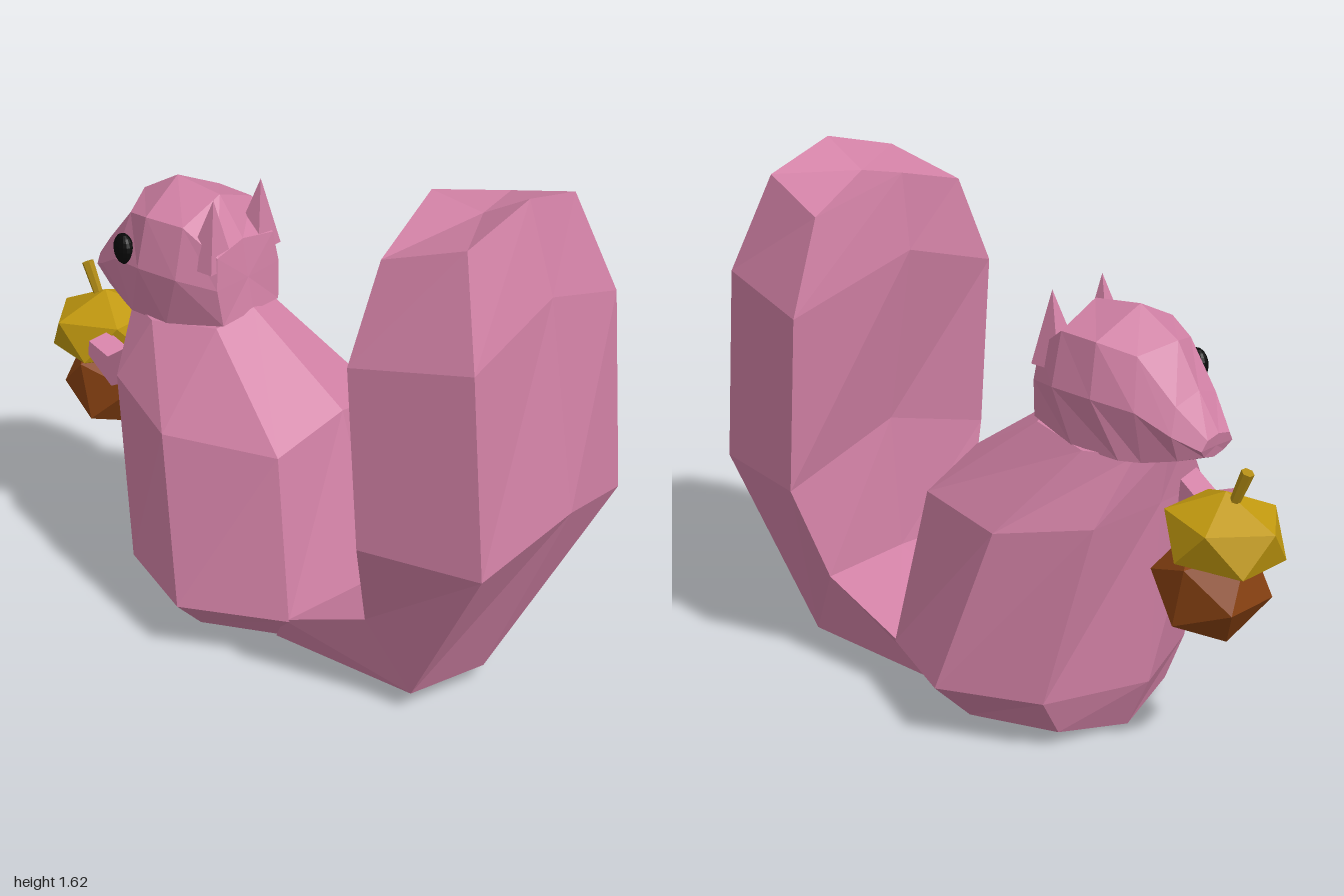
import * as THREE from 'three';

const paint = (color) => new THREE.MeshStandardMaterial({ color, flatShading: true });

// Skins a series of rings. Each ring is a half outline of [x, y, z] points that
// starts and ends on the z = 0 plane and is mirrored to the other side.
function loft(halfRings) {
  const rings = halfRings.map((half) => [
    ...half,
    ...half.slice(1, -1).reverse().map(([x, y, z]) => [x, y, -z]),
  ]);
  const n = rings[0].length;
  const pos = [];
  const tri = (a, b, c) => pos.push(...a, ...b, ...c);
  const middle = (r) => [0, 1, 2].map((k) => r.reduce((s, p) => s + p[k], 0) / n);
  for (let j = 0; j < rings.length - 1; j++) {
    for (let i = 0; i < n; i++) {
      const k = (i + 1) % n;
      const [a, b] = [rings[j], rings[j + 1]];
      tri(a[i], a[k], b[k]);
      tri(a[i], b[k], b[i]);
    }
  }
  const first = rings[0], last = rings[rings.length - 1];
  for (let i = 0; i < n; i++) {
    const k = (i + 1) % n;
    tri(middle(first), first[k], first[i]);
    tri(middle(last), last[i], last[k]);
  }
  const g = new THREE.BufferGeometry();
  g.setAttribute('position', new THREE.Float32BufferAttribute(pos, 3));
  g.computeVertexNormals();
  return g;
}

export function createModel() {
  const model = new THREE.Group();
  const fur = paint(0xd080a4);
  const add = (name, geometry, material, x = 0, y = 0, z = 0) => {
    const mesh = new THREE.Mesh(geometry, material);
    mesh.name = name;
    mesh.position.set(x, y, z);
    model.add(mesh);
    return mesh;
  };

  // Body: eight-sided rings from the ground to the neck
  add('body', loft([
    [[-0.46, 0.01, 0], [-0.40, 0.055, 0.25], [-0.12, 0.05, 0.34], [0.12, 0.06, 0.25], [0.2, 0.005, 0]],
    [[-0.54, 0.18, 0], [-0.41, 0.18, 0.33], [-0.10, 0.18, 0.47], [0.22, 0.18, 0.32], [0.34, 0.18, 0]],
    [[-0.57, 0.77, 0], [-0.53, 0.75, 0.25], [-0.24, 0.69, 0.365], [0.13, 0.69, 0.26], [0.17, 0.76, 0]],
    [[-0.60, 0.95, 0], [-0.57, 0.95, 0.12], [-0.43, 0.95, 0.19], [-0.21, 0.97, 0.14], [-0.18, 1.0, 0]],
  ]), fur);

  // Tail: six-sided rings, listed inner ridge to outer ridge
  add('tail', loft([
    [[0.26, 0.21, 0], [0.2, 0.18, 0.32], [0.12, 0.06, 0.26], [0.18, 0.005, 0]],
    [[0.51, 0.32, 0], [0.51, 0.31, 0.32], [0.64, 0.07, 0.26], [0.72, 0.07, 0]],
    [[0.55, 0.75, 0], [0.56, 0.62, 0.43], [0.94, 0.62, 0.35], [1.0, 0.71, 0]],
    [[0.45, 1.33, 0], [0.52, 1.19, 0.43], [0.89, 1.25, 0.35], [0.9, 1.36, 0]],
    [[0.48, 1.57, 0], [0.54, 1.48, 0.31], [0.79, 1.56, 0.26], [0.81, 1.63, 0]],
  ]), fur);

  // Head: rings from the back of the skull to the nose, chin to crown
  add('head', loft([
    [[-0.18, 0.99, 0], [-0.19, 0.98, 0.13], [-0.20, 1.1, 0.145], [-0.21, 1.2, 0.13], [-0.22, 1.22, 0]],
    [[-0.36, 0.94, 0], [-0.38, 0.95, 0.18], [-0.32, 1.12, 0.2], [-0.32, 1.28, 0.16], [-0.31, 1.34, 0]],
    [[-0.54, 0.93, 0], [-0.54, 0.94, 0.16], [-0.47, 1.12, 0.205], [-0.46, 1.28, 0.17], [-0.48, 1.36, 0]],
    [[-0.60, 0.93, 0], [-0.60, 0.94, 0.13], [-0.60, 1.1, 0.165], [-0.57, 1.25, 0.12], [-0.62, 1.28, 0]],
    [[-0.70, 0.95, 0], [-0.70, 0.96, 0.09], [-0.70, 1.04, 0.12], [-0.69, 1.12, 0.09], [-0.70, 1.15, 0]],
    [[-0.76, 0.965, 0], [-0.76, 0.975, 0.045], [-0.77, 1.0, 0.07], [-0.775, 1.03, 0.05], [-0.775, 1.04, 0]],
  ]), fur);

  // Ears: four-sided points at the back of the head
  for (const side of [1, -1]) {
    const ear = new THREE.ConeGeometry(0.075, 0.22, 4).rotateY(Math.PI / 4);
    const p = ear.attributes.position;
    for (let i = 0; i < p.count; i++) {
      if (p.getY(i) > 0) p.setX(i, p.getX(i) + 0.02);
    }
    add(side > 0 ? 'leftSideEar' : 'rightSideEar', ear, fur, -0.26, 1.265, side * 0.11);
  }

  // Eye on the front-facing cheek
  const eye = add('eye', new THREE.SphereGeometry(1, 16, 10), paint(0x080808), -0.555, 1.15, 0.172);
  eye.scale.set(0.042, 0.05, 0.028);
  eye.rotation.y = -0.3;

  // Bent forearm with paw
  const arm = new THREE.Shape([
    [-0.50, 0.85], [-0.62, 0.765], [-0.70, 0.795], [-0.705, 0.745], [-0.61, 0.665], [-0.50, 0.72],
  ].map(([x, y]) => new THREE.Vector2(x, y)));
  add('arm', new THREE.ExtrudeGeometry(arm, { depth: 0.09, bevelEnabled: false }), fur, 0, 0, 0.105);

  // Acorn: faceted nut, flattened cap and stem
  const nut = add('acornNut', new THREE.IcosahedronGeometry(0.18, 0), paint(0x8a4212), -0.765, 0.575, 0);
  nut.rotation.z = 0.2;
  const capShape = new THREE.IcosahedronGeometry(0.2, 0).rotateZ(0.45).scale(1, 0.66, 0.96);
  const cap = add('acornCap', capShape, paint(0xc0980f), -0.81, 0.74, 0);
  cap.rotation.z = 0.14;
  const stem = add('acornStem', new THREE.CylinderGeometry(0.02, 0.015, 0.14, 6), paint(0xb08a14), -0.855, 0.885, 0);
  stem.rotation.z = 0.4;

  return model;
}
